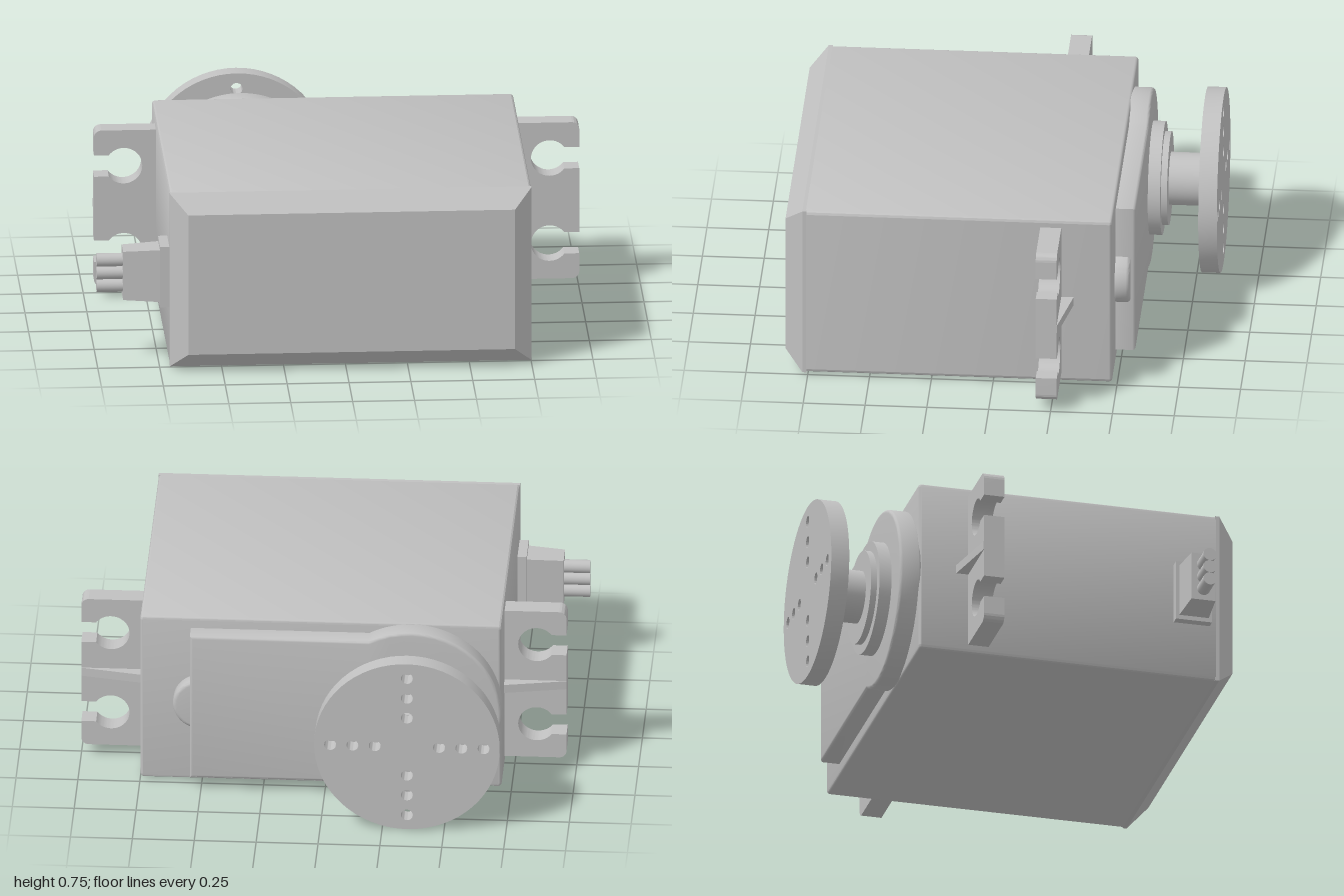
import * as THREE from 'three';
import { toCreasedNormals } from 'three/addons/utils/BufferGeometryUtils.js';
import { ConvexGeometry } from 'three/addons/geometries/ConvexGeometry.js';

const CX = 0.02, CY = 0.38;          // middle of the case
const SHAFT_X = -0.35;               // output axis

export function createModel() {
  const model = new THREE.Group();
  model.name = 'servoMotor';
  const grey = new THREE.MeshStandardMaterial({ color: 0xc0c0c0 });
  grey.name = 'plain grey';

  const add = (name, geometry, parent = model) => {
    const mesh = new THREE.Mesh(geometry, grey);
    mesh.name = name;
    parent.add(mesh);
    return mesh;
  };

  // Extrude an xy shape between two z values, optionally with softened rims
  const slab = (shape, z0, z1, bevel = 0) => {
    const g = new THREE.ExtrudeGeometry(shape, {
      depth: z1 - z0 - 2 * bevel, curveSegments: 32,
      bevelEnabled: bevel > 0, bevelThickness: bevel, bevelSize: bevel,
      bevelOffset: -bevel, bevelSegments: 3,
    });
    g.translate(0, 0, z0 + bevel);
    return toCreasedNormals(g, 0.6);
  };

  // Convex solid through rectangles [x0, x1, y0, y1, z]
  const rectHull = (rects) => new ConvexGeometry(rects.flatMap(([x0, x1, y0, y1, z]) =>
    [[x0, y0], [x1, y0], [x1, y1], [x0, y1]].map(([x, y]) => new THREE.Vector3(x, y, z))));

  // Round part along z
  const disc = (name, r, z0, z1) => {
    const g = new THREE.CylinderGeometry(r, r, z1 - z0, 64);
    g.rotateX(Math.PI / 2);
    g.translate(SHAFT_X, CY, (z0 + z1) / 2);
    return add(name, g);
  };

  // Case with softened long edges
  const r = 0.015, x0 = -0.71, x1 = 0.75, y0 = 0.015, y1 = 0.745;
  const caseShape = new THREE.Shape();
  caseShape.absarc(x1 - r, y1 - r, r, 0, Math.PI / 2);
  caseShape.absarc(x0 + r, y1 - r, r, Math.PI / 2, Math.PI);
  caseShape.absarc(x0 + r, y0 + r, r, Math.PI, Math.PI * 1.5);
  caseShape.absarc(x1 - r, y0 + r, r, Math.PI * 1.5, Math.PI * 2);
  add('case', slab(caseShape, -0.48, 0.77, 0.012));

  // Chamfered front cover
  add('frontCover', rectHull([
    [x0, x1, y0, y1, 0.755], [x0, x1, y0, y1, 0.772],
    [x0 + 0.07, x1 - 0.07, y0 + 0.07, y1 - 0.07, 0.845],
  ]));

  // Gear cover on the back: a strip merging into a round end
  const R = 0.364, half = 0.32, a = Math.asin(half / R);
  const gear = new THREE.Shape();
  gear.moveTo(0.545, CY - half);
  gear.lineTo(0.545, CY + half);
  gear.absarc(SHAFT_X, CY, R, a, Math.PI * 2 - a);
  gear.closePath();
  add('gearCover', slab(gear, -0.56, -0.47, 0.012));

  // Small rounded boss peeking out at the end of the gear cover
  const boss = new THREE.Shape();
  boss.absarc(0.505, CY, 0.11, 0, Math.PI * 2);
  add('gearBoss', slab(boss, -0.54, -0.47, 0.015));

  // Output collar, step and shaft
  disc('collar', 0.23, -0.61, -0.55);
  disc('collarStep', 0.19, -0.635, -0.605);
  disc('shaft', 0.107, -0.78, -0.63);

  // Horn disc with a cross of drilled holes
  const horn = new THREE.Shape();
  horn.absarc(SHAFT_X, CY, 0.375, 0, Math.PI * 2);
  for (let i = 0; i < 4; i++) {
    const t = i * Math.PI / 2;
    for (const d of [0.13, 0.22, 0.31]) {
      const hole = new THREE.Path();
      hole.absarc(SHAFT_X + d * Math.cos(t), CY + d * Math.sin(t), 0.024, 0, Math.PI * 2, true);
      horn.holes.push(hole);
    }
  }
  add('hornDisc', slab(horn, -0.85, -0.775));

  // Mounting ears with two open keyhole slots and a rib, in case-centred coordinates
  const inX = 0.72, outX = 0.98, h = 0.33, c = 0.03;
  const holeX = 0.86, holeR = 0.075, slot = 0.045, p = Math.asin(slot / holeR);
  const ear = new THREE.Shape();
  ear.moveTo(inX, -h);
  ear.lineTo(outX - c, -h);
  ear.absarc(outX - c, -h + c, c, -Math.PI / 2, 0);
  for (const hy of [-0.18, 0.18]) {
    ear.lineTo(outX, hy - slot);
    ear.absarc(holeX, hy, holeR, -p, p, true);
    ear.lineTo(outX, hy + slot);
  }
  ear.absarc(outX - c, h - c, c, 0, Math.PI / 2);
  ear.lineTo(inX, h);
  ear.closePath();
  const earGeometry = slab(ear, -0.275, -0.19);
  const ribGeometry = new ConvexGeometry([-0.018, 0.018].flatMap((y) => [
    new THREE.Vector3(inX, y, -0.327), new THREE.Vector3(inX, y, -0.265),
    new THREE.Vector3(outX, y, -0.277), new THREE.Vector3(outX, y, -0.265),
  ]));
  for (const [name, turn] of [['leftEar', 0], ['rightEar', Math.PI]]) {
    const group = new THREE.Group();
    group.name = name;
    group.position.set(CX, CY, 0);
    group.rotation.z = turn;
    add('earPlate', earGeometry, group);
    add('earRib', ribGeometry, group);
    model.add(group);
  }

  // Cable outlet: base block, tapered sleeve and three wires
  const outlet = new THREE.Group();
  outlet.name = 'cableOutlet';
  outlet.position.set(0, CY, 0.657);
  model.add(outlet);
  add('outletBase', new THREE.BoxGeometry(0.05, 0.255, 0.15), outlet).position.x = -0.722;
  const sleeve = rectHull([
    [-0.062, 0.062, -0.11, 0.11, 0], [-0.05, 0.05, -0.102, 0.102, 0.155],
  ]);
  sleeve.rotateY(-Math.PI / 2);
  add('sleeve', sleeve, outlet).position.x = -0.74;
  for (const y of [-0.054, 0, 0.054]) {
    const wire = new THREE.CylinderGeometry(0.027, 0.027, 0.12, 24);
    wire.rotateZ(Math.PI / 2);
    add('wire', wire, outlet).position.set(-0.94, y, 0);
  }

  return model;
}
